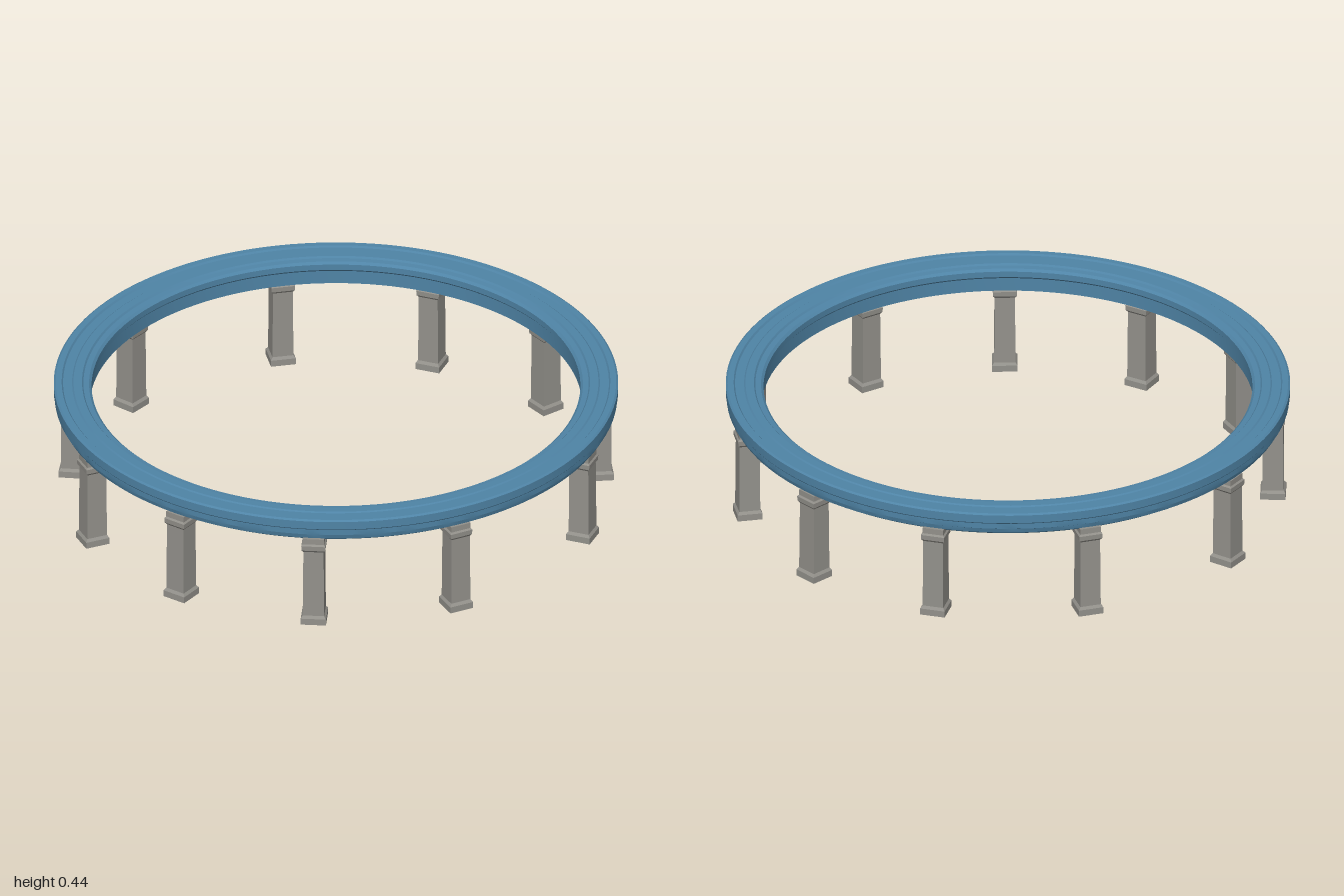
import * as THREE from 'three';
import { toCreasedNormals } from 'three/addons/utils/BufferGeometryUtils.js';

const blue = new THREE.MeshStandardMaterial({ color: 0x4f84a6 });
blue.name = 'blueStone';
const grey = new THREE.MeshStandardMaterial({ color: 0x93918b });
grey.name = 'greyStone';

const lathe = (points, segments, phi = 0) => toCreasedNormals(
  new THREE.LatheGeometry(points.map(([r, y]) => new THREE.Vector2(r, y)), segments, phi), 0.5);

// Moulded ring beam: closed profile, counter-clockwise from the inner bottom edge
function ringGeometry() {
  return lathe([
    [0.872, 0.338], [0.958, 0.338], [0.97, 0.35], [0.985, 0.355], [0.99, 0.372],
    [0.997, 0.376], [0.997, 0.396], [1, 0.4], [1, 0.43], [0.993, 0.435],
    [0.972, 0.435], [0.967, 0.429], [0.935, 0.429], [0.93, 0.433], [0.9, 0.433],
    [0.895, 0.427], [0.875, 0.425], [0.866, 0.417], [0.866, 0.395], [0.872, 0.388],
    [0.872, 0.338],
  ], 128);
}

// Square pillar with plinth and capital: [half width, height]
function pillarGeometry() {
  const profile = [
    [0, 0], [0.045, 0], [0.045, 0.024], [0.038, 0.034], [0.036, 0.292],
    [0.042, 0.3], [0.043, 0.318], [0.038, 0.324], [0.038, 0.345], [0, 0.345],
  ];
  return lathe(profile.map(([h, y]) => [h * Math.SQRT2, y]), 4, Math.PI / 4);
}

export function createModel() {
  const model = new THREE.Group();
  model.name = 'pillarRing';

  const ring = new THREE.Mesh(ringGeometry(), blue);
  ring.name = 'ringBeam';
  model.add(ring);

  // Pillars face outward, at slightly uneven angles measured from the front
  const pillar = pillarGeometry();
  const angles = [0, 31.6, 73, 100.5, 132.4, 163.5, 196.7, 235.2, 267.7, 298.3, 329];
  angles.forEach((degrees, i) => {
    const a = THREE.MathUtils.degToRad(degrees);
    const mesh = new THREE.Mesh(pillar, grey);
    mesh.name = `pillar${i + 1}`;
    mesh.position.set(0.94 * Math.sin(a), 0, 0.94 * Math.cos(a));
    mesh.rotation.y = a;
    model.add(mesh);
  });
  return model;
}
